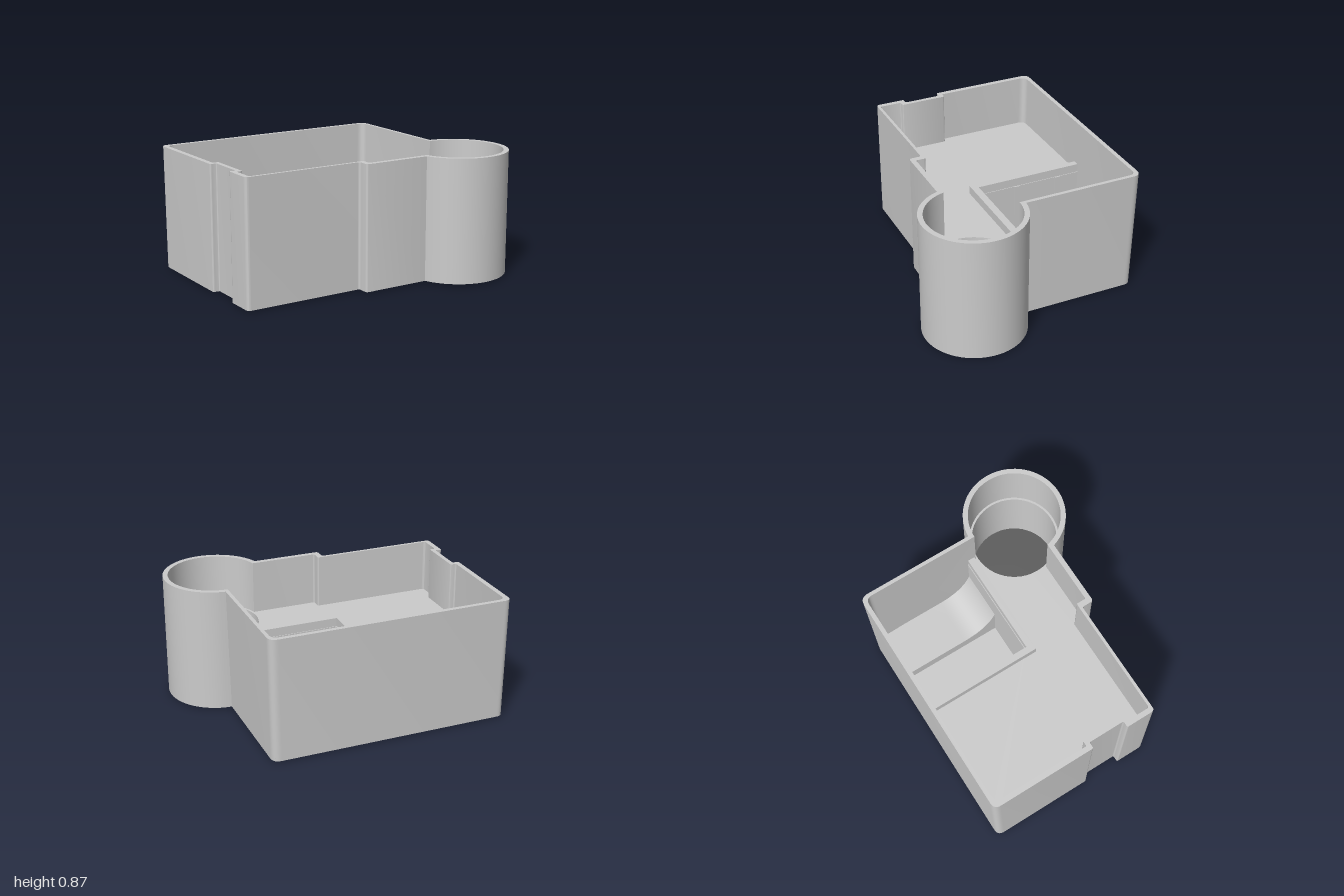
import * as THREE from 'three';
import { toCreasedNormals } from 'three/addons/utils/BufferGeometryUtils.js';

const RIM = 0.87, BASE = 0.01, FLOOR = 0.5;
const CUP = { x: 0.65, z: 0.42 };

// Closed outline from [x, z, cornerRadius] points; shape y is -z
function outline(points, Type = THREE.Shape) {
  const v = points.map(([x, z]) => new THREE.Vector2(x, -z));
  const path = new Type();
  const n = v.length;
  for (let i = 0; i < n; i++) {
    const p = v[i], r = points[i][2] || 0;
    const toward = (q) => p.clone().add(q.clone().sub(p).setLength(r));
    const a = r ? toward(v[(i + n - 1) % n]) : p;
    if (i === 0) path.moveTo(a.x, a.y); else path.lineTo(a.x, a.y);
    if (r) {
      const b = toward(v[(i + 1) % n]);
      path.quadraticCurveTo(p.x, p.y, b.x, b.y);
    }
  }
  path.closePath();
  return path;
}

// Points round the cup, from the front wall (z = zFront) to the side wall (x = xSide)
function cupArc(r, zFront, xSide) {
  const start = Math.PI - Math.asin((zFront - CUP.z) / r);
  const end = -Math.acos((xSide - CUP.x) / r);
  return Array.from({ length: 49 }, (_, i) => {
    const a = start + (end - start) * i / 48;
    return [CUP.x + r * Math.cos(a), CUP.z + r * Math.sin(a)];
  });
}

// Upright extrusion between two heights, with a slight draft on back and side walls
function upright(shape, y0, y1) {
  const g = new THREE.ExtrudeGeometry(shape, { depth: y1 - y0, bevelEnabled: false, curveSegments: 8 });
  g.rotateX(-Math.PI / 2).translate(0, y0, 0);
  const p = g.attributes.position;
  for (let i = 0; i < p.count; i++) {
    const x = p.getX(i), z = p.getZ(i);
    const d = 0.015 * (RIM - p.getY(i)) / (RIM - BASE);
    if (z < -0.6) p.setZ(i, z + d);
    if (x > 0.6 && x < 0.69 && z < 0.1) p.setX(i, x - d);
  }
  return toCreasedNormals(g, 0.6);
}

export function createModel() {
  const group = new THREE.Group();
  const grey = new THREE.MeshStandardMaterial({ color: 0xcccccc, side: THREE.DoubleSide });
  const dark = new THREE.MeshStandardMaterial({ color: 0x5c5c5c, flatShading: true });
  const add = (name, geometry, material = grey) => {
    const mesh = new THREE.Mesh(geometry, material);
    mesh.name = name;
    group.add(mesh);
    return mesh;
  };
  const box = (name, x0, x1, y0, y1, z0, z1) => add(name,
    new THREE.BoxGeometry(x1 - x0, y1 - y0, z1 - z0)
      .translate((x0 + x1) / 2, (y0 + y1) / 2, (z0 + z1) / 2));

  // Outer wall with side notch, front step and round cup
  const outer = [
    [-1, -0.77, 0.05], [-1, -0.03, 0.01], [-0.955, -0.03, 0.01], [-0.955, 0.23, 0.01],
    [-1, 0.23, 0.01], [-1, 0.44, 0.025], [-0.16, 0.44, 0.015], [-0.16, 0.525, 0.02],
    ...cupArc(0.35, 0.525, 0.68), [0.68, -0.77, 0.06],
  ];
  const innerFront = [
    [-0.965, -0.06, 0.01], [-0.925, -0.06, 0.01], [-0.925, 0.265, 0.01], [-0.965, 0.265, 0.01],
    [-0.965, 0.42, 0.015], [-0.12, 0.42, 0.01], [-0.12, 0.49, 0.01],
    ...cupArc(0.315, 0.49, 0.655),
  ];
  const backLeft = [-0.965, -0.74, 0.05];
  const wall = outline(outer);
  wall.holes.push(outline([backLeft, ...innerFront, [0.655, -0.74, 0.05]], THREE.Path));
  add('outerWall', upright(wall, BASE, RIM));

  // Raised floor that leaves out the corner pocket and the cup well
  const floor = outline([backLeft, ...innerFront, [0.655, 0.035], [-0.1, 0.035], [-0.1, -0.74]]);
  const well = new THREE.Path();
  for (let i = 0; i <= 48; i++) {
    const a = -i / 48 * Math.PI * 2;
    const x = CUP.x + 0.3 * Math.cos(a), y = -CUP.z + 0.3 * Math.sin(a);
    if (i) well.lineTo(x, y); else well.moveTo(x, y);
  }
  floor.holes.push(well);
  add('raisedFloor', upright(floor, BASE, FLOOR));

  // Dark disc closing the cup well
  add('cupBase', new THREE.CylinderGeometry(0.302, 0.302, 0.02, 24).translate(CUP.x, 0.01, CUP.z), dark);

  // L-shaped rail around the pocket
  const rail = [[-0.15, -0.745], [-0.15, 0.09], [0.655, 0.09], [0.655, 0.04], [-0.105, 0.04], [-0.105, -0.745]];
  add('pocketRail', upright(outline(rail), FLOOR - 0.02, 0.56));

  // Pocket bottom and ribs on its wall
  box('pocketFloor', -0.1, 0.645, BASE, 0.03, -0.745, 0.035);
  for (const z of [-0.57, -0.25]) box('pocketRib', -0.105, -0.093, 0.03, FLOOR, z - 0.02, z + 0.02);

  // Curved ramp beside the flat part of the pocket
  const ramp = new THREE.Shape();
  ramp.moveTo(-0.74, 0.02);
  ramp.lineTo(0.036, 0.02);
  ramp.lineTo(0.036, 0.3);
  ramp.quadraticCurveTo(-0.03, 0.12, -0.22, 0.12);
  ramp.lineTo(-0.74, 0.12);
  ramp.closePath();
  const rampGeometry = new THREE.ExtrudeGeometry(ramp, { depth: 0.345, bevelEnabled: false, curveSegments: 16 });
  rampGeometry.rotateY(-Math.PI / 2).scale(1, 1, 1).translate(0.645, 0, 0);
  add('pocketRamp', toCreasedNormals(rampGeometry, 0.6));

  return group;
}
